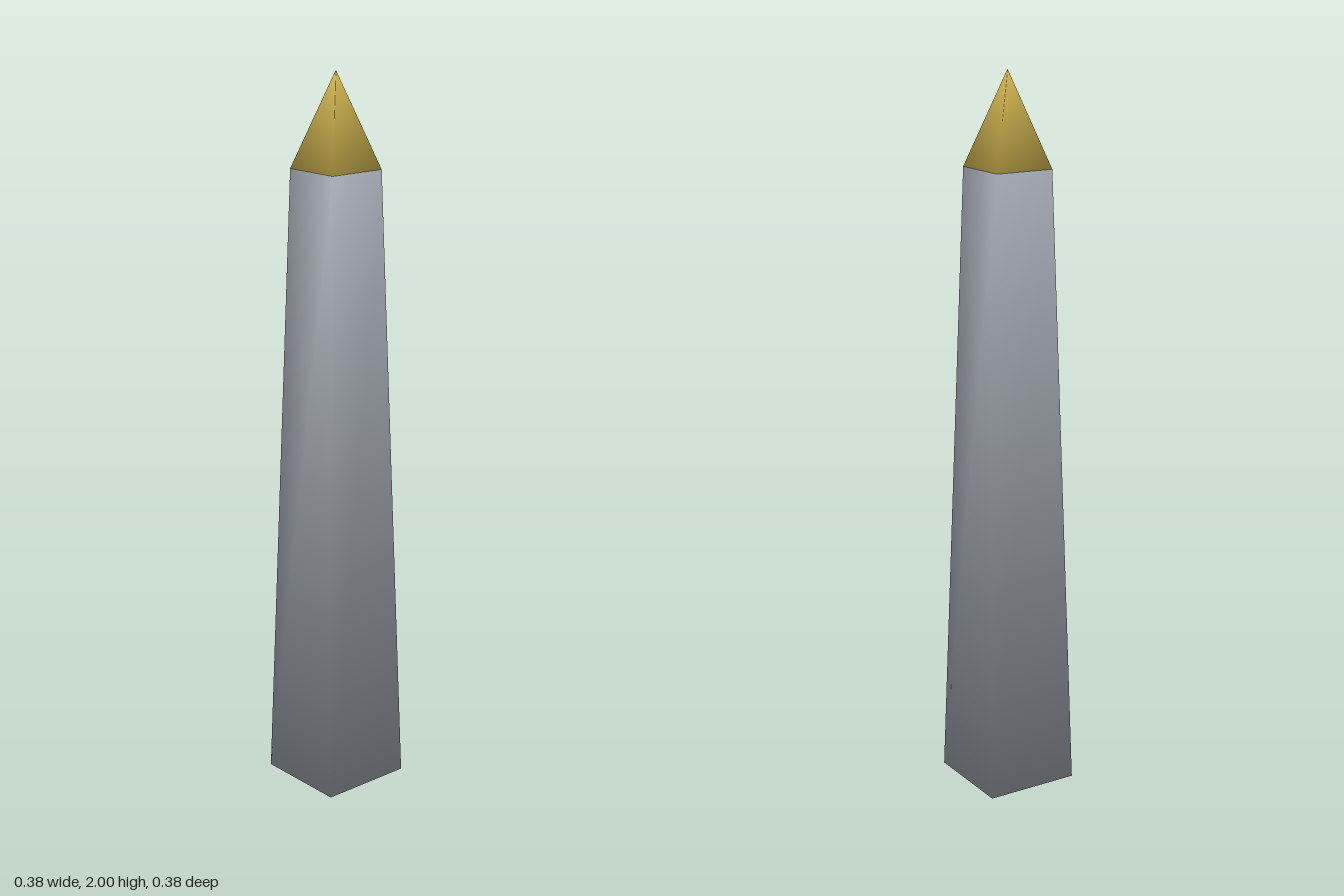
import * as THREE from 'three';
import { mergeVertices } from 'three/addons/utils/BufferGeometryUtils.js';

const stone = new THREE.MeshStandardMaterial({ name: 'grey stone', color: 0x9a9fa8 });
const gold = new THREE.MeshStandardMaterial({ name: 'gold', color: 0xc9af4c });

// Share corners and give each the plain average of its face normals (soft shading over all edges)
function softened(source) {
  source.deleteAttribute('normal');
  source.deleteAttribute('uv');
  const geometry = mergeVertices(source);
  const { position } = geometry.attributes;
  const index = geometry.index;
  const sums = Array.from({ length: position.count }, () => new THREE.Vector3());
  const [a, b, c] = [0, 1, 2].map(() => new THREE.Vector3());
  const triangle = new THREE.Triangle(a, b, c);
  const normal = new THREE.Vector3();
  for (let i = 0; i < index.count; i += 3) {
    const ids = [0, 1, 2].map((k) => index.getX(i + k));
    [a, b, c].forEach((p, k) => p.fromBufferAttribute(position, ids[k]));
    triangle.getNormal(normal);
    ids.forEach((id) => sums[id].add(normal));
  }
  const normals = sums.flatMap((n) => n.normalize().toArray());
  geometry.setAttribute('normal', new THREE.Float32BufferAttribute(normals, 3));
  return geometry;
}

// Closed four-sided taper with its corners on the x and z axes
function taper(name, topRadius, bottomRadius, y0, y1, material) {
  const geometry = new THREE.CylinderGeometry(topRadius, bottomRadius, y1 - y0, 4);
  geometry.translate(0, (y0 + y1) / 2, 0);
  const mesh = new THREE.Mesh(softened(geometry), material);
  mesh.name = name;
  return mesh;
}

export function createModel() {
  const obelisk = new THREE.Group();
  obelisk.name = 'obelisk';
  obelisk.add(
    taper('shaft', 0.121, 0.19, 0, 1.744, stone),
    taper('pointedCap', 0.001, 0.121, 1.744, 2, gold),
  );
  return obelisk;
}
